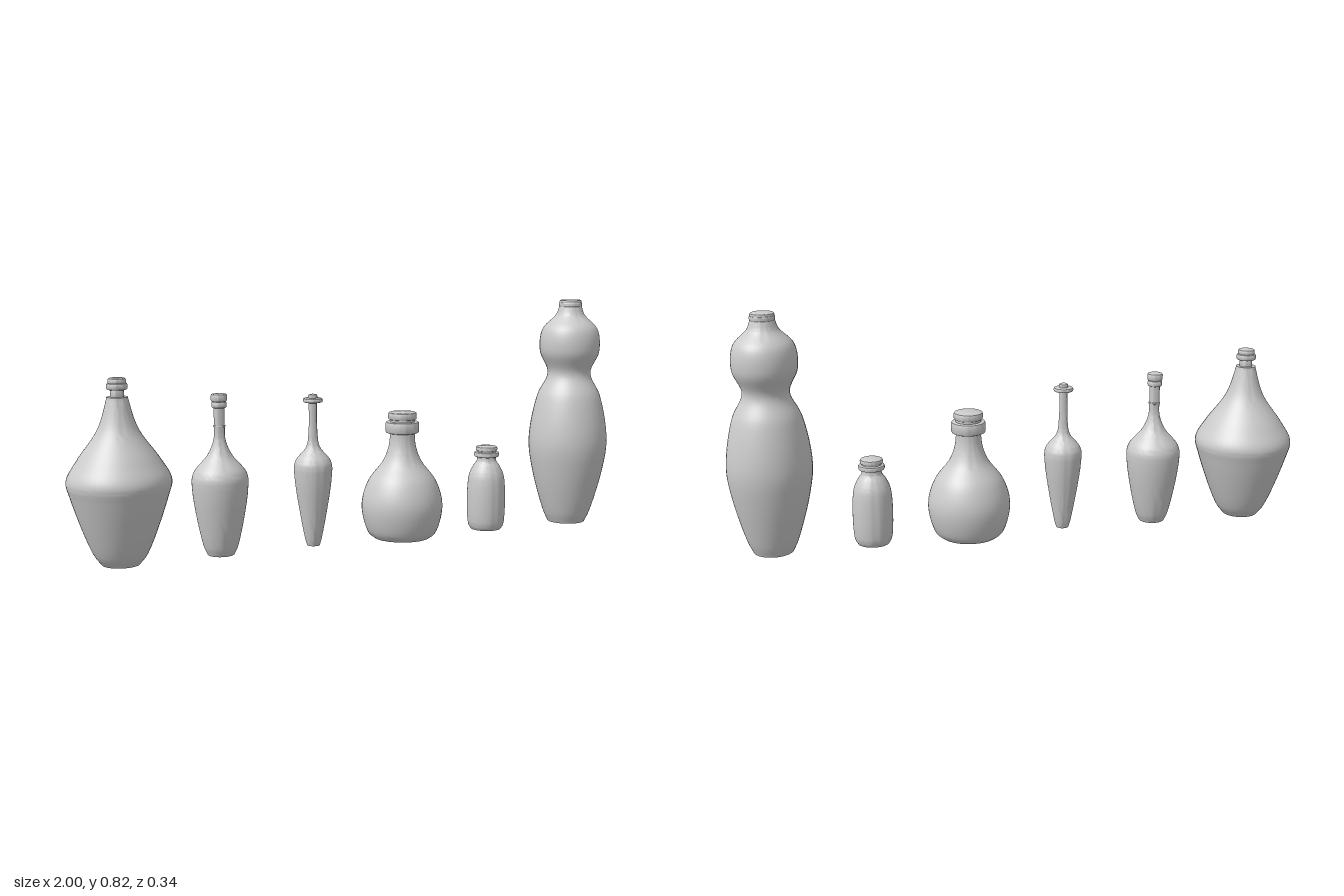
import * as THREE from 'three';
import { toCreasedNormals } from 'three/addons/utils/BufferGeometryUtils.js';

const material = new THREE.MeshStandardMaterial({ color: 0xcccccc, side: THREE.DoubleSide });

// Revolve a profile of Vector2 points, closed on the axis at both ends
function revolve(name, points) {
  const bottom = new THREE.Vector2(0, points[0].y);
  const top = new THREE.Vector2(0, points[points.length - 1].y);
  const geometry = new THREE.LatheGeometry([bottom, ...points, top], 48);
  const mesh = new THREE.Mesh(toCreasedNormals(geometry, 0.6), material);
  mesh.name = name;
  return mesh;
}

// Glass: a smooth curve through a few [radius, height] points
function glassBody(points) {
  const curve = new THREE.CatmullRomCurve3(points.map(([r, y]) => new THREE.Vector3(r, y, 0)), false, 'centripetal');
  return revolve('glassBody', curve.getPoints(points.length * 6).map((p) => new THREE.Vector2(p.x, p.y)));
}

// Ring or cork: a disc with its rims rounded off
function roundedDisc(name, radius, y0, y1) {
  const bevel = Math.min(0.006, (y1 - y0) * 0.4);
  const rim = [];
  for (let i = 0; i <= 8; i++) {
    const a = (Math.floor(i / 2 + 0.5) * Math.PI) / 4 - Math.PI / 2;
    const centre = i < 4 ? y0 + bevel : y1 - bevel;
    if (i % 2 === 0 || i === 3) rim.push(new THREE.Vector2(radius - bevel + bevel * Math.cos(a), centre + bevel * Math.sin(a)));
  }
  return revolve(name, rim);
}

// One bottle: glass, then the collar and cork as [radius, bottom, top]
function bottle(name, x, profile, collar, cork) {
  const group = new THREE.Group();
  group.name = name;
  group.position.x = x;
  group.add(glassBody(profile), roundedDisc('collar', ...collar), roundedDisc('cork', ...cork));
  return group;
}

export function createModel() {
  const model = new THREE.Group();
  model.name = 'bottleSet';

  const wide = bottle('wideShoulderBottle', -0.83,
    [[0.062, 0], [0.088, 0.035], [0.159, 0.227], [0.17, 0.28], [0.135, 0.345], [0.066, 0.445], [0.036, 0.54], [0.034, 0.55]],
    [0.034, 0.573, 0.595], [0.029, 0.59, 0.611]);
  wide.add(roundedDisc('corkStem', 0.022, 0.54, 0.58));

  const longNeck = bottle('longNeckBottle', -0.49,
    [[0.045, 0], [0.058, 0.03], [0.093, 0.22], [0.09, 0.275], [0.04, 0.34], [0.02, 0.39], [0.018, 0.44], [0.018, 0.5]],
    [0.025, 0.496, 0.518], [0.027, 0.517, 0.543]);
  longNeck.add(roundedDisc('neckRing', 0.0205, 0.432, 0.438));

  const slender = bottle('slenderBottle', -0.157,
    [[0.022, 0], [0.03, 0.03], [0.064, 0.24], [0.062, 0.292], [0.023, 0.345], [0.015, 0.4], [0.014, 0.5]],
    [0.034, 0.497, 0.512], [0.016, 0.508, 0.525]);

  const flask = bottle('roundFlask', 0.18,
    [[0.1, 0], [0.12, 0.018], [0.143, 0.115], [0.12, 0.2], [0.066, 0.275], [0.046, 0.335], [0.044, 0.42]],
    [0.059, 0.372, 0.412], [0.05, 0.419, 0.445]);

  const jar = bottle('smallJar', 0.517,
    [[0.055, 0], [0.064, 0.018], [0.064, 0.19], [0.047, 0.232], [0.035, 0.25], [0.034, 0.287]],
    [0.045, 0.264, 0.282], [0.039, 0.285, 0.302]);

  const gourd = bottle('gourdBottle', 0.857,
    [[0.068, 0], [0.086, 0.04], [0.13, 0.2], [0.143, 0.31], [0.115, 0.47], [0.078, 0.555],
      [0.108, 0.635], [0.1, 0.715], [0.052, 0.768], [0.04, 0.8]],
    [0.042, 0.796, 0.814], [0.04, 0.808, 0.822]);

  model.add(wide, longNeck, slender, flask, jar, gourd);
  return model;
}
